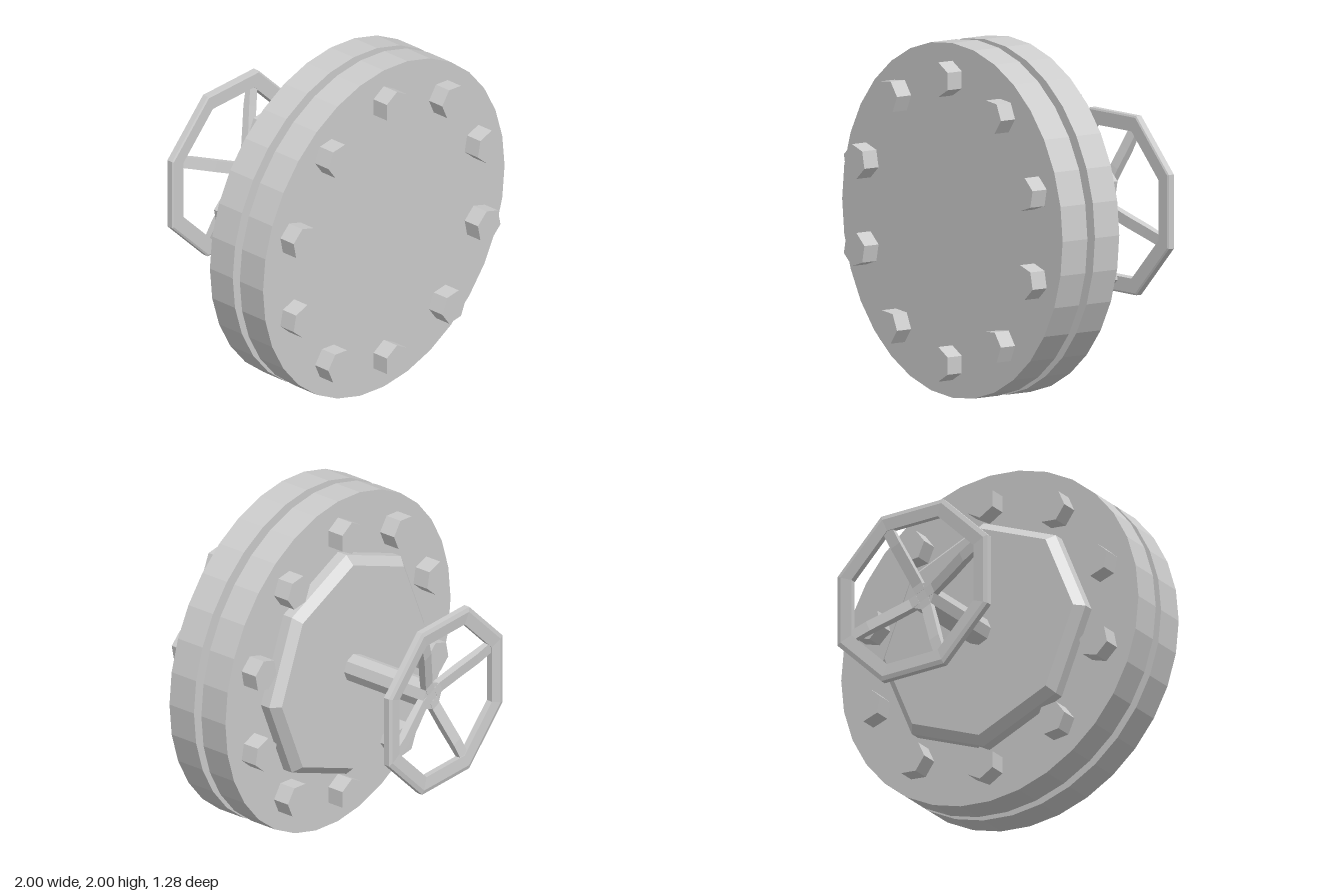
import * as THREE from 'three';

export function createModel() {
  const model = new THREE.Group();
  model.name = 'flangedHatchWithHandwheel';
  // All parts turn around an axis along z, one unit above the ground
  const assembly = new THREE.Group();
  assembly.name = 'assembly';
  assembly.position.y = 1;
  model.add(assembly);
  const material = new THREE.MeshStandardMaterial({ color: 0xcccccc, flatShading: true });

  const add = (name, geometry, parent = assembly) => {
    const mesh = new THREE.Mesh(geometry, material);
    mesh.name = name;
    parent.add(mesh);
    return mesh;
  };

  // Prism along z between two depths
  const prism = (radius, sides, z0, z1) =>
    new THREE.CylinderGeometry(radius, radius, z1 - z0, sides)
      .rotateX(Math.PI / 2).translate(0, 0, (z0 + z1) / 2);

  // Profile of [radius, z] turned around z
  const turned = (profile, sides, start = 0) =>
    new THREE.LatheGeometry(profile.map(([r, z]) => new THREE.Vector2(r, z)), sides, start)
      .rotateX(Math.PI / 2);

  // Two flange plates with a gap between them
  add('frontFlange', prism(1, 32, 0.365, 0.54));
  add('backFlange', prism(1, 32, 0.14, 0.312));

  // Ring of hexagonal through-bolts
  const bolts = new THREE.Group();
  bolts.name = 'bolts';
  assembly.add(bolts);
  for (let i = 0; i < 10; i++) {
    const geometry = prism(0.098, 6, 0.04, 0.64).translate(0, 0.802, 0);
    add('bolt', geometry.rotateZ((i * Math.PI) / 5), bolts);
  }

  // Octagonal boss with a chamfered back edge
  add('boss', turned([[0, 0.03], [0.635, 0.03], [0.685, 0.08], [0.685, 0.15], [0, 0.15]], 8));

  // Valve stem
  add('stem', prism(0.082, 8, -0.535, 0.05));

  // Handwheel: octagonal rim, flat sides facing up, down, left and right
  const wheel = new THREE.Group();
  wheel.name = 'handwheel';
  assembly.add(wheel);
  const k = 1 / Math.cos(Math.PI / 8);
  const rim = [[0.505, -0.63], [0.505, -0.595], [0.495, -0.59], [0.415, -0.59],
    [0.41, -0.63], [0.48, -0.637], [0.505, -0.63]].map(([r, z]) => [r * k, z]);
  add('rim', turned(rim, 8, Math.PI / 8), wheel);

  // Four bent spokes from the stem to alternate rim corners
  const outline = [[0.03, -0.495], [0.08, -0.498], [0.23, -0.533], [0.35, -0.568], [0.46, -0.598],
    [0.46, -0.628], [0.34, -0.608], [0.22, -0.575], [0.08, -0.538], [0.03, -0.536]];
  const width = 0.065;
  for (let i = 0; i < 4; i++) {
    const shape = new THREE.Shape(outline.map(([r, z]) => new THREE.Vector2(r, z)));
    const geometry = new THREE.ExtrudeGeometry(shape, { depth: width, bevelEnabled: false })
      .translate(0, 0, -width / 2)
      .rotateX(Math.PI / 2)
      .rotateZ(Math.PI * (3 / 8 + i / 2));
    add('spoke', geometry, wheel);
  }

  return model;
}
